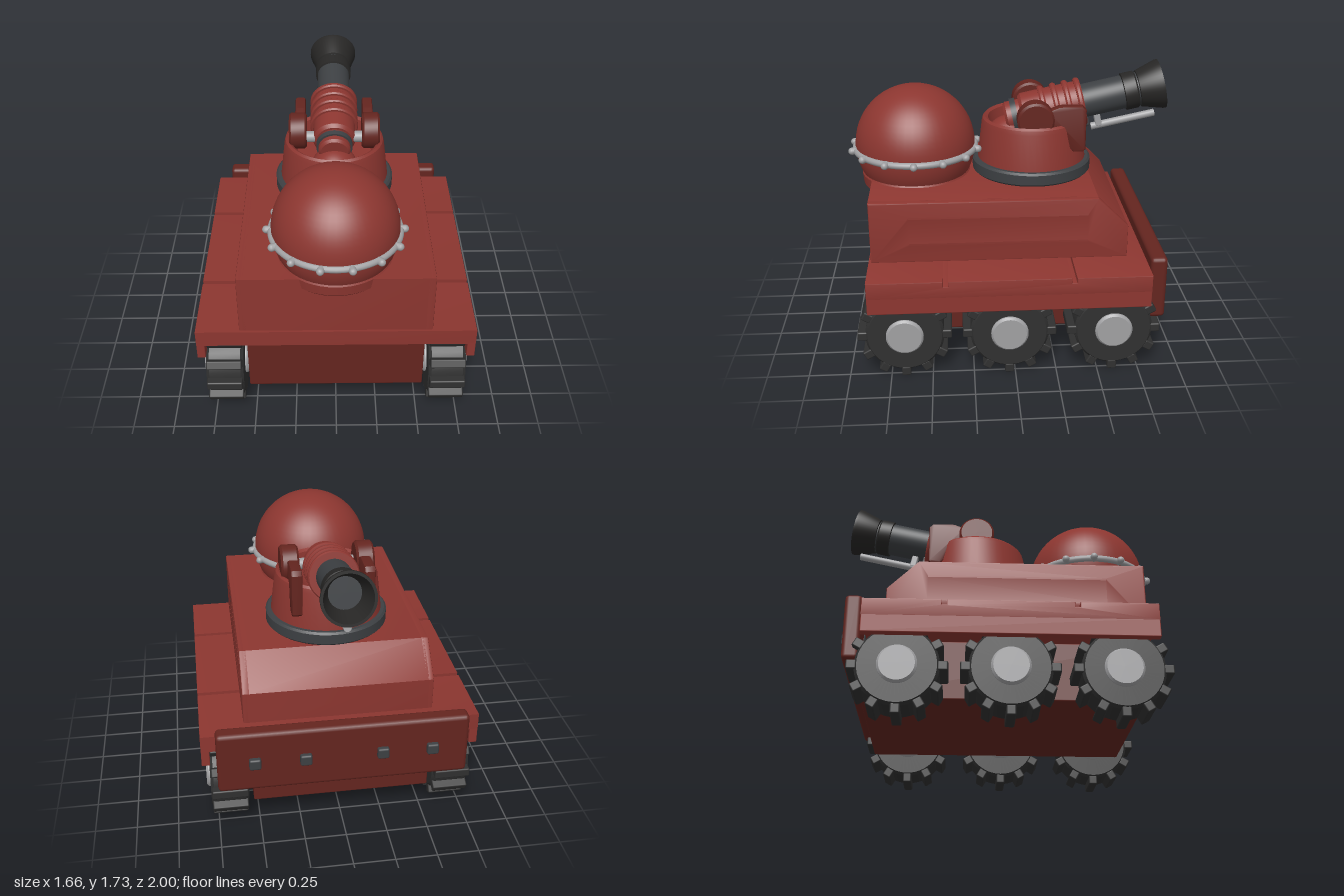
import * as THREE from 'three';
import { toCreasedNormals } from 'three/addons/utils/BufferGeometryUtils.js';
import { RoundedBoxGeometry } from 'three/addons/geometries/RoundedBoxGeometry.js';

const paint = (color) => new THREE.MeshStandardMaterial({ color });
const RED = paint(0x8c3630), DARK_RED = paint(0x64251f), RUBBER = paint(0x303030);
const BLACK = paint(0x272625), GUNMETAL = paint(0x3d4043), SILVER = paint(0xa0a0a2);

function add(parent, name, geometry, material, x = 0, y = 0, z = 0) {
  const mesh = new THREE.Mesh(geometry, material);
  mesh.name = name;
  mesh.position.set(x, y, z);
  parent.add(mesh);
  return mesh;
}

const box = (w, h, d, r = 0.01) => new RoundedBoxGeometry(w, h, d, 2, r);

// Revolved solid from [radius, height] pairs, listed bottom to top on the outside
const lathe = (pairs, segments = 48) => toCreasedNormals(
  new THREE.LatheGeometry(pairs.map(([r, y]) => new THREE.Vector2(r, y)), segments), 0.5);

// Side outline given as [z, y] pairs
const outline = (pairs) => new THREE.Shape(pairs.map(([z, y]) => new THREE.Vector2(-z, y)));

// Side outline extruded across x, centred on x = 0
function extrudeX(shape, width, bevel) {
  const geo = new THREE.ExtrudeGeometry(shape, {
    depth: width - 2 * bevel, bevelEnabled: bevel > 0, bevelThickness: bevel,
    bevelSize: bevel, bevelOffset: -bevel, bevelSegments: 2, curveSegments: 20,
  });
  geo.translate(0, 0, bevel - width / 2);
  geo.rotateY(Math.PI / 2);
  return toCreasedNormals(geo, 0.5);
}

function makeWheel() {
  const wheel = new THREE.Group();
  wheel.name = 'wheel';
  const tyre = lathe([[0.1, -0.113], [0.22, -0.113], [0.235, -0.095],
    [0.235, 0.095], [0.22, 0.113], [0.1, 0.113]]).rotateZ(Math.PI / 2);
  add(wheel, 'tyre', tyre, RUBBER);
  const hub = lathe([[0, -0.135], [0.1, -0.135], [0.112, -0.122],
    [0.112, 0.122], [0.1, 0.135], [0, 0.135]]).rotateZ(Math.PI / 2);
  add(wheel, 'hub', hub, SILVER);
  const lug = box(0.215, 0.06, 0.055, 0.009);
  for (let i = 0; i < 12; i++) {
    const a = (i / 12) * Math.PI * 2;
    const m = add(wheel, 'treadLug', lug, RUBBER, 0, Math.cos(a) * 0.25, Math.sin(a) * 0.25);
    m.rotation.x = a;
  }
  return wheel;
}

function makeHull() {
  const hull = new THREE.Group();
  hull.name = 'hull';
  add(hull, 'lowerHull', box(1.07, 0.36, 1.63), DARK_RED, 0, 0.36, 0.005);

  // Deck plate with two seams running across it
  add(hull, 'deck', extrudeX(outline([
    [0.87, 0.56], [0.87, 0.665], [0.425, 0.665], [0.425, 0.632], [0.395, 0.632], [0.395, 0.665],
    [-0.325, 0.665], [-0.325, 0.632], [-0.355, 0.632], [-0.355, 0.665], [-0.8, 0.665], [-0.8, 0.56],
  ]), 1.665, 0.004), RED);
  for (const s of [-1, 1]) add(hull, 'skirt', box(0.05, 0.115, 1.67, 0.006), RED, s * 0.807, 0.517, 0.035);

  // Rear plate and its bolts
  add(hull, 'rearPlate', box(1.49, 0.395, 0.1, 0.025), DARK_RED, 0, 0.532, -0.855);
  for (const x of [-0.525, -0.228, 0.228, 0.525])
    add(hull, 'rearBolt', box(0.07, 0.07, 0.14, 0.012), GUNMETAL, x, 0.532, -0.865);

  // Upper body: core plus side plates pierced by long slots
  const profile = [[0.855, 0.665], [0.855, 1.05], [-0.505, 1.05], [-0.69, 0.865], [-0.69, 0.665]];
  add(hull, 'upperBody', extrudeX(outline(profile), 1.11, 0.012), RED);
  const plate = outline(profile);
  for (const y of [0.78, 0.95]) {
    plate.holes.push(outline([[0.63, y - 0.014], [0.63, y + 0.014], [-0.455, y + 0.014], [-0.455, y - 0.014]]));
  }
  const plateGeo = extrudeX(plate, 0.05, 0.008);
  for (const s of [-1, 1]) add(hull, 'slottedSidePlate', plateGeo, RED, s * 0.547, 0, 0);

  // Wheels
  for (const s of [-1, 1]) for (const z of [0.66, 0.035, -0.59]) {
    const wheel = makeWheel();
    wheel.position.set(s * 0.675, 0.286, z);
    hull.add(wheel);
  }
  return hull;
}

function makeDome() {
  const dome = new THREE.Group();
  dome.name = 'dome';
  dome.position.z = 0.585;
  add(dome, 'domeCollar', lathe([[0, 0.915], [0.25, 0.92], [0.285, 0.94], [0.31, 0.96], [0.335, 0.985],
    [0.342, 1.05], [0.33, 1.07], [0, 1.07]]), RED);
  add(dome, 'domeBall', new THREE.SphereGeometry(0.375, 48, 32), RED, 0, 1.225, 0);
  add(dome, 'domeRing', new THREE.TorusGeometry(0.375, 0.021, 12, 64).rotateX(Math.PI / 2), SILVER, 0, 1.205, 0);
  const stud = new THREE.CapsuleGeometry(0.023, 0.045, 6, 12).rotateZ(Math.PI / 2);
  for (let i = 0; i < 14; i++) {
    const a = (i / 14) * Math.PI * 2;
    const m = add(dome, 'ringStud', stud, SILVER, Math.cos(a) * 0.38, 1.205, -Math.sin(a) * 0.38);
    m.rotation.y = a;
  }
  return dome;
}

function makeTurret() {
  const turret = new THREE.Group();
  turret.name = 'turret';
  turret.position.z = -0.15;
  add(turret, 'turretRing', lathe([[0, 1.05], [0.363, 1.05], [0.375, 1.062],
    [0.375, 1.123], [0.363, 1.135], [0, 1.135]]), GUNMETAL);
  add(turret, 'turretBase', lathe([[0.342, 1.13], [0.315, 1.36], [0.308, 1.385], [0.295, 1.398],
    [0.275, 1.385], [0.25, 1.25], [0, 1.25]]), RED);
  add(turret, 'cradleBall', new THREE.SphereGeometry(0.15, 32, 20), RED, 0, 1.24, 0.14);

  // Side arms: round bearing plus a plate hanging down at the muzzle end
  const arm = extrudeX(outline([[0.06, 1.35], [0.06, 1.49], [-0.09, 1.49], [-0.15, 1.515], [-0.29, 1.515],
    [-0.315, 1.49], [-0.315, 1.24], [-0.3, 1.225], [-0.24, 1.225], [-0.215, 1.25], [-0.18, 1.35]]), 0.065, 0.012);
  const bearing = lathe([[0, -0.055], [0.1, -0.055], [0.113, -0.042],
    [0.113, 0.042], [0.1, 0.055], [0, 0.055]]).rotateZ(Math.PI / 2);
  for (const s of [-1, 1]) {
    add(turret, 'gunArm', arm, DARK_RED, s * 0.215, 0, 0);
    add(turret, 'armBearing', bearing, DARK_RED, s * 0.228, 1.435, -0.005);
  }
  const axle = new THREE.CylinderGeometry(0.035, 0.035, 0.42, 20).rotateZ(Math.PI / 2);
  add(turret, 'axle', axle, SILVER, 0, 1.41, 0.03);
  turret.add(makeGun());
  return turret;
}

// The gun is built along +y (local +z is its top), then tilted toward the rear
function makeGun() {
  const gun = new THREE.Group();
  gun.name = 'gun';
  gun.position.y = 1.41;
  gun.rotation.x = -THREE.MathUtils.degToRad(78);
  add(gun, 'breech', lathe([[0, -0.17], [0.085, -0.17], [0.1, -0.155], [0.1, -0.05], [0, -0.05]]), RED);
  add(gun, 'breechBand', lathe([[0.09, -0.125], [0.113, -0.125], [0.113, -0.09], [0.09, -0.09]]), GUNMETAL);
  add(gun, 'gunBody', lathe([[0, -0.07], [0.115, -0.07], [0.133, -0.05], [0.133, 0.31], [0.12, 0.325], [0, 0.325]]), RED);
  for (const y of [0.08, 0.16, 0.235, 0.31])
    add(gun, 'bodyRib', lathe([[0.12, y - 0.018], [0.145, y - 0.018], [0.152, y - 0.008],
      [0.152, y + 0.008], [0.145, y + 0.018], [0.12, y + 0.018]]), RED);
  add(gun, 'barrel', lathe([[0, 0.3], [0.105, 0.3], [0.105, 0.7], [0, 0.7]]), GUNMETAL);
  add(gun, 'barrelCollar', lathe([[0.1, 0.585], [0.117, 0.59], [0.117, 0.665], [0.108, 0.675], [0.1, 0.675]]), BLACK);
  add(gun, 'flaredMuzzle', lathe([[0.1, 0.68], [0.115, 0.685], [0.154, 0.815], [0.154, 0.832],
    [0.138, 0.832], [0.1, 0.72], [0.09, 0.69]]), BLACK);

  // Thin rod slung under the barrel
  add(gun, 'underRod', new THREE.CylinderGeometry(0.023, 0.023, 0.41, 20), SILVER, 0, 0.555, -0.178);
  add(gun, 'rodBracket', box(0.05, 0.04, 0.1, 0.006), SILVER, 0, 0.4, -0.13);
  add(gun, 'barrelLug', box(0.07, 0.07, 0.08, 0.01), GUNMETAL, 0, 0.31, -0.12);
  return gun;
}

export function createModel() {
  const model = new THREE.Group();
  model.name = 'armouredVehicle';
  model.add(makeHull(), makeDome(), makeTurret());
  return model;
}
